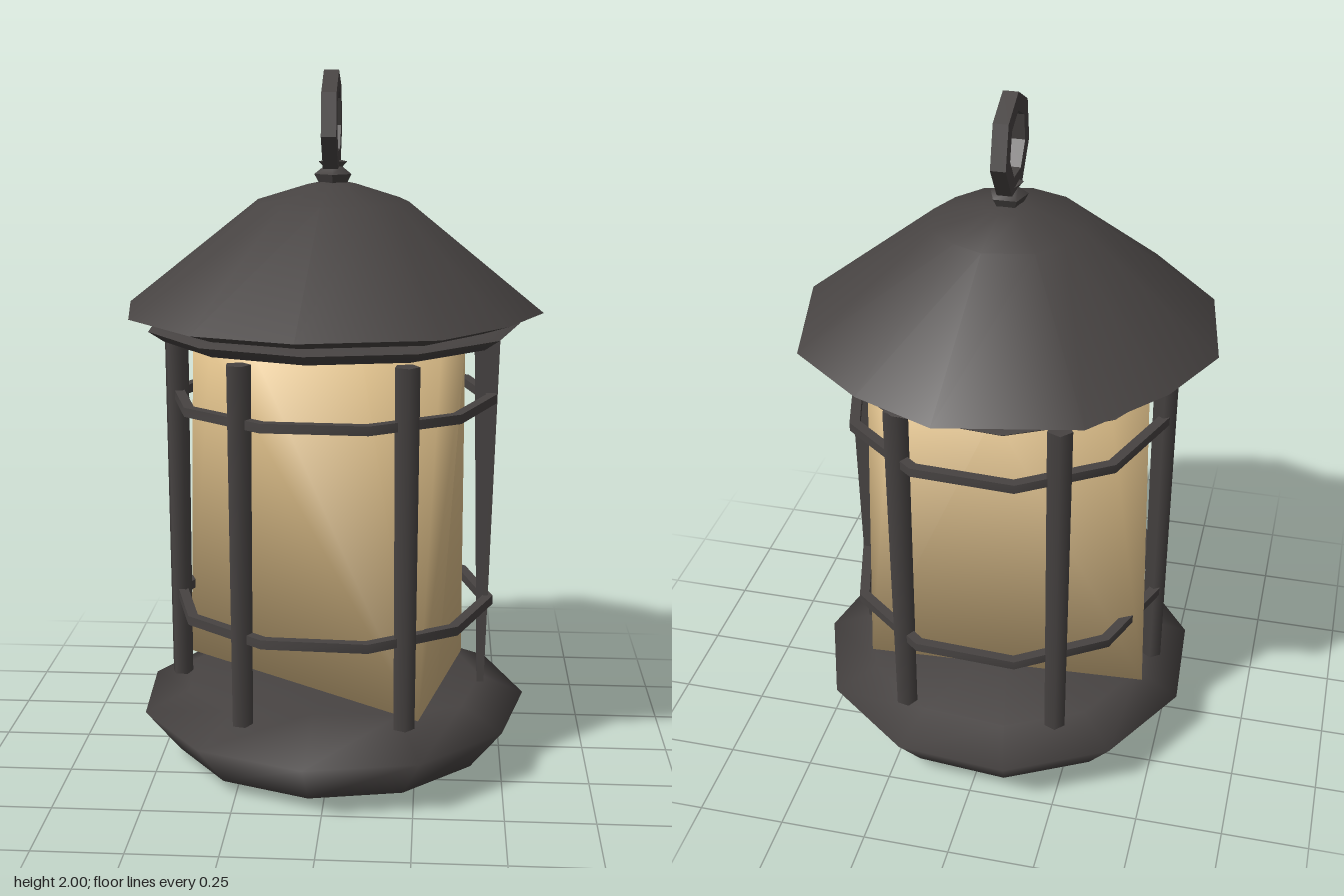
import * as THREE from 'three';
import { toCreasedNormals } from 'three/addons/utils/BufferGeometryUtils.js';

// Skin a list of rings (bottom to top), each ring an array of [x, y, z]
function loft(rings, crease = 0.9) {
  const n = rings[0].length, pos = rings.flat(2), idx = [];
  for (let r = 0; r < rings.length - 1; r++) {
    for (let i = 0; i < n; i++) {
      const a = r * n + i, b = r * n + (i + 1) % n;
      idx.push(a, a + n, b, b, a + n, b + n);
    }
  }
  const g = new THREE.BufferGeometry();
  g.setAttribute('position', new THREE.Float32BufferAttribute(pos, 3));
  g.setIndex(idx);
  return toCreasedNormals(g, crease);
}

// Regular polygon ring
function ring(n, radius, y, phase = 0) {
  return Array.from({ length: n }, (_, i) => {
    const t = phase + (i / n) * Math.PI * 2;
    return [Math.cos(t) * radius, y, Math.sin(t) * radius];
  });
}

// Flat polygonal band between two radii, centred on height y
function band(n, inner, outer, y, half, phase, crease) {
  const profile = [[inner, -half], [outer, -half], [outer, half], [inner, half], [inner, -half]];
  return loft(profile.map(([r, h]) => ring(n, r, y + h, phase)), crease);
}

export function createModel() {
  const lantern = new THREE.Group();
  lantern.name = 'lantern';
  const metal = new THREE.MeshStandardMaterial({ color: 0x474342 });
  metal.name = 'darkMetal';
  const glass = new THREE.MeshStandardMaterial({ color: 0xdfc08a, side: THREE.DoubleSide });
  glass.name = 'amberGlass';
  const add = (name, geometry, material = metal) => {
    const m = new THREE.Mesh(geometry, material);
    m.name = name;
    lantern.add(m);
    return m;
  };

  // Base dish, with a longer slope on top at the front
  const dish = [[0, 0.005], [0.4, 0.012], [0.47, 0.04], [0.57, 0.165], [0.44, 0.22], [0, 0.217]];
  const dishRings = dish.map(([r, y]) => ring(11, r, y, -0.06));
  dishRings[4] = dishRings[4].map(([x, y, z]) => [x, y, Math.min(z, 0.3)]);
  add('base', loft(dishRings, 2.3));

  // Thin plate below the roof
  const plate = [[0, 1.258], [0.49, 1.26], [0.535, 1.29], [0.5, 1.3], [0, 1.29]];
  add('topPlate', loft(plate.map(([r, y]) => ring(11, r, y, -0.06)), 1.5));

  // Roof with an uneven hand-cut rim, closed underneath
  const rim = [[0.06, -0.6], [0.29, -0.5], [0.51, -0.32], [0.595, 0.06], [0.49, 0.3], [0.31, 0.52],
    [-0.06, 0.6], [-0.34, 0.5], [-0.545, 0.25], [-0.6, -0.08], [-0.5, -0.3], [-0.32, -0.52]];
  const roof = [[0, 1.308], [0.86, 1.308], [1, 1.335], [0.36, 1.64], [0.12, 1.685], [0, 1.7]];
  add('roof', loft(roof.map(([s, y]) => rim.map(([x, z]) => [x * s, y, z * s])), 1.3));

  // Glass: rounded at the top, narrowing to a nearly three-cornered bottom, softly shaded
  const A = [0.26, 0.36], B = [0.385, -0.2], C = [-0.45, -0.15], D = [0.31, 0.136];
  const columns = [ // [bottom corner, top corner]
    [D, [0.38, 0]], [A, [0.31, 0.24]], [A, [0.1, 0.355]], [A, [-0.19, 0.335]], [A, [-0.33, 0.2]],
    [C, [-0.33, 0.2]], [C, [-0.41, -0.03]], [C, [-0.33, -0.22]], [C, [-0.05, -0.38]],
    [B, [-0.05, -0.38]], [B, [0.25, -0.33]], [B, [0.38, -0.12]],
  ];
  const glassRing = (k, y, s = 1) => columns.map((c) => [c[k][0] * s, y, c[k][1] * s]);
  add('glass', loft([glassRing(0, 0.23, 0), glassRing(0, 0.23), glassRing(1, 1.255),
    glassRing(1, 1.255, 0)], Math.PI), glass);

  // Six posts; the one on +x is a twisted blade
  for (let i = 1; i < 6; i++) {
    const t = (i / 6) * Math.PI * 2;
    const post = add('post', new THREE.CylinderGeometry(0.036, 0.031, 1.02, 5));
    post.position.set(Math.cos(t) * 0.45 - 0.005, 0.73, Math.sin(t) * 0.445);
    post.rotation.y = -t;
  }
  const blade = [
    [[0.45, 0.22, -0.03], [0.45, 0.22, 0.03], [0.43, 0.22, 0.03], [0.43, 0.22, -0.03]],
    [[0.478, 1.245, -0.004], [0.478, 1.245, 0.004], [0.405, 1.245, 0.004], [0.405, 1.245, -0.004]],
  ];
  add('bladePost', loft(blade));

  // Two hoops around the posts
  for (const y of [0.475, 1.08]) add('hoop', band(10, 0.442, 0.472, y, 0.013, 0.05, 0.9));

  // Finial and carrying ring
  const finial = [[0.03, 1.67], [0.055, 1.715], [0.028, 1.735], [0.042, 1.75], [0, 1.752]];
  add('finial', loft(finial.map(([r, y]) => ring(5, r, y, 0.3))));
  const carry = add('carryingRing', band(7, 0.09, 0.14, 0, 0.021, 0.05, 0.6));
  carry.rotation.z = Math.PI / 2;
  carry.position.set(-0.004, 1.861, 0.003);

  return lantern;
}
